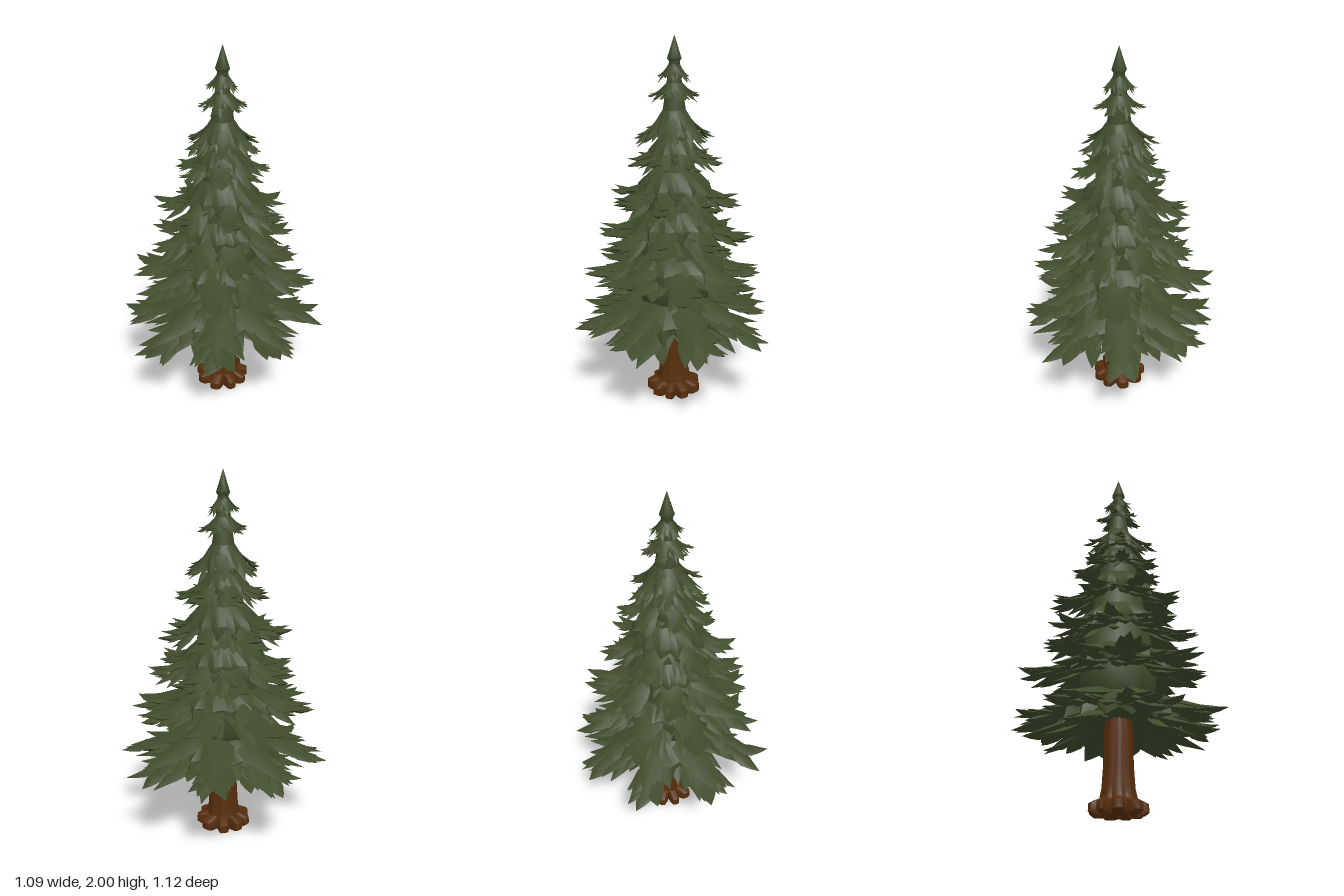
import * as THREE from 'three';
import { toCreasedNormals } from 'three/addons/utils/BufferGeometryUtils.js';

const needleGreen = new THREE.MeshStandardMaterial({ color: 0x3f4b2c, side: THREE.DoubleSide });
needleGreen.name = 'needle green';
const barkBrown = new THREE.MeshStandardMaterial({ color: 0x562d0b });
barkBrown.name = 'bark brown';

// Small seeded generator so the tree is always the same
let seed = 11;
function rand(a, b) {
  seed = (seed * 16807) % 2147483647;
  return a + (b - a) * (seed / 2147483647);
}

function addMesh(group, name, geometry, material) {
  const mesh = new THREE.Mesh(geometry, material);
  mesh.name = name;
  group.add(mesh);
}

const toProfile = (points) => points.map(([r, y]) => new THREE.Vector2(r, y));

// Point on the centreline of a leaf
function along(leaf, t) {
  const d = leaf.len * t;
  return new THREE.Vector3(
    leaf.base.x + Math.cos(leaf.yaw) * d,
    leaf.base.y + leaf.len * (leaf.pitch * t + leaf.bend * t * t),
    leaf.base.z + Math.sin(leaf.yaw) * d
  );
}

// Pointed, keeled leaf lofted from four-sided cross-sections
const STATIONS = [[0, 0.6], [0.25, 0.95], [0.5, 1], [0.75, 0.55], [1, 0.01]];
function addLeaf(buffers, leaf) {
  const { pos, idx } = buffers;
  const first = pos.length / 3;
  const sx = -Math.sin(leaf.yaw), sz = Math.cos(leaf.yaw);
  STATIONS.forEach(([t, k]) => {
    const c = along(leaf, t), w = leaf.width * k;
    pos.push(c.x, c.y + w * 0.25, c.z);
    pos.push(c.x + sx * w, c.y - w * 0.25, c.z + sz * w);
    pos.push(c.x, c.y - w * 0.75, c.z);
    pos.push(c.x - sx * w, c.y - w * 0.25, c.z - sz * w);
  });
  for (let i = 0; i < STATIONS.length - 1; i++) {
    for (let j = 0; j < 4; j++) {
      const a = first + i * 4 + j, b = first + i * 4 + (j + 1) % 4;
      idx.push(a, b, b + 4, a, b + 4, a + 4);
    }
  }
}

// Branch: one main leaf with pairs of long spikes swept forward at varied slopes
function addBranch(buffers, yaw, top, tip, reach, bend, pairs) {
  const len = reach - 0.02;
  const main = {
    base: new THREE.Vector3(Math.cos(yaw) * 0.02, top, Math.sin(yaw) * 0.02),
    yaw, len, pitch: (tip - top) / len - bend, bend, width: reach * 0.16,
  };
  addLeaf(buffers, main);
  for (let k = 0; k < pairs; k++) {
    const t = 0.4 + 0.3 * k / Math.max(1, pairs - 1);
    for (const side of [-1, 1]) {
      const base = along(main, t + rand(-0.04, 0.04));
      base.y -= reach * rand(0.0, 0.06);
      addLeaf(buffers, {
        base,
        yaw: yaw + side * (0.7 - 0.5 * t + rand(-0.12, 0.12)),
        len: reach * (0.62 - 0.42 * t) * rand(0.85, 1.15),
        pitch: main.pitch + 2 * bend * t - rand(-0.05, 0.35),
        bend: 0.2,
        width: reach * 0.085,
      });
    }
  }
}

// Full, jagged skirt that carries the body of a tier behind its branches
function skirtGeometry(top, tip, reach, count) {
  const bottom = tip - reach * 0.1;
  const profile = toProfile([
    [0.05, bottom + reach * 0.12],
    [reach * 0.6, bottom],
    [reach * 0.56, tip + (top - tip) * 0.2],
    [reach * 0.36, tip + (top - tip) * 0.6],
    [reach * 0.13, top],
  ]);
  const g = new THREE.LatheGeometry(profile, count * 4);
  const p = g.attributes.position;
  for (let i = 1; i < count * 4; i += 2) {
    const v = i * profile.length + 1;
    p.setXYZ(v, p.getX(v) * 0.8, p.getY(v) + reach * 0.1, p.getZ(v) * 0.8);
    p.setX(v + 1, p.getX(v + 1) * 0.88);
    p.setZ(v + 1, p.getZ(v + 1) * 0.88);
  }
  return toCreasedNormals(g, 0.8);
}

// Trunk flaring into lobed roots
function trunkGeometry() {
  const profile = toProfile([
    [0.001, 0.035], [0.07, 0.025], [0.13, 0.0], [0.15, 0.015], [0.148, 0.055], [0.125, 0.068],
    [0.095, 0.08], [0.084, 0.13], [0.077, 0.24], [0.073, 0.42], [0.06, 0.62],
  ]);
  const g = new THREE.LatheGeometry(profile, 72);
  const p = g.attributes.position;
  for (let i = 0; i < p.count; i++) {
    const x = p.getX(i), z = p.getZ(i), r = Math.hypot(x, z), a = Math.atan2(z, x);
    const flare = THREE.MathUtils.clamp((r - 0.085) / 0.05, 0, 1);
    const lobe = Math.pow(0.5 - 0.5 * Math.cos(9 * a + 0.9 * Math.sin(2 * a)), 3);
    const k = 1 - 0.38 * flare * lobe + 0.02 * Math.cos(9 * a);
    p.setX(i, x * k);
    p.setZ(i, z * k);
  }
  return toCreasedNormals(g, 0.7);
}

// Tiers: top height, tip height, reach, branches, first angle, upward bend, spike pairs
const TIERS = [
  [0.66, 0.47, 0.55, 8, -27, 0.1, 4],
  [0.93, 0.76, 0.49, 8, -19, 0.45, 4],
  [1.18, 0.98, 0.41, 8, -2, 0.8, 3],
  [1.37, 1.19, 0.355, 7, 0, 0.95, 3],
  [1.53, 1.38, 0.25, 7, 14, 0.9, 3],
  [1.67, 1.50, 0.21, 6, 0, 0.8, 2],
  [1.79, 1.71, 0.125, 6, 20, 0.9, 2],
  [1.87, 1.80, 0.09, 5, 0, 0.9, 1],
];

export function createModel() {
  const tree = new THREE.Group();
  tree.name = 'firTree';

  addMesh(tree, 'trunk', trunkGeometry(), barkBrown);

  TIERS.forEach(([top, tip, reach, count, angle, bend, pairs], n) => {
    const tier = new THREE.Group();
    tier.name = 'tier' + (n + 1);
    const buffers = { pos: [], idx: [] };
    for (let i = 0; i < count; i++) {
      const yaw = THREE.MathUtils.degToRad(angle + 360 * i / count);
      const gap = yaw + Math.PI / count;
      // Long branch, a lower one beneath it, and a shorter one in the gap
      addBranch(buffers, yaw + rand(-0.05, 0.05), top, tip + reach * rand(-0.04, 0.05),
        reach * rand(0.96, 1.03), bend, pairs);
      addBranch(buffers, yaw + rand(-0.15, 0.15), top - reach * 0.16, tip - reach * rand(0.1, 0.18),
        reach * rand(0.82, 0.94), bend * 0.7, 1);
      addBranch(buffers, gap + rand(-0.08, 0.08), top - reach * 0.06, tip - reach * rand(0.0, 0.1),
        reach * rand(0.64, 0.74), bend * 0.5, 1);
    }
    const g = new THREE.BufferGeometry();
    g.setAttribute('position', new THREE.Float32BufferAttribute(buffers.pos, 3));
    g.setIndex(buffers.idx);
    addMesh(tier, 'branches', toCreasedNormals(g, 1.2), needleGreen);
    addMesh(tier, 'skirt', skirtGeometry(top, tip, reach, count), needleGreen);
    tree.add(tier);
  });

  // Solid green core ending in the pointed crown
  const core = toProfile([
    [0.07, 0.5], [0.19, 0.58], [0.21, 0.7], [0.19, 0.87], [0.15, 1.1], [0.12, 1.28], [0.09, 1.45],
    [0.065, 1.6], [0.042, 1.75], [0.028, 1.87], [0.038, 1.885], [0.02, 1.94], [0.001, 2],
  ]);
  addMesh(tree, 'crown', toCreasedNormals(new THREE.LatheGeometry(core, 10), 0.9), needleGreen);

  return tree;
}
